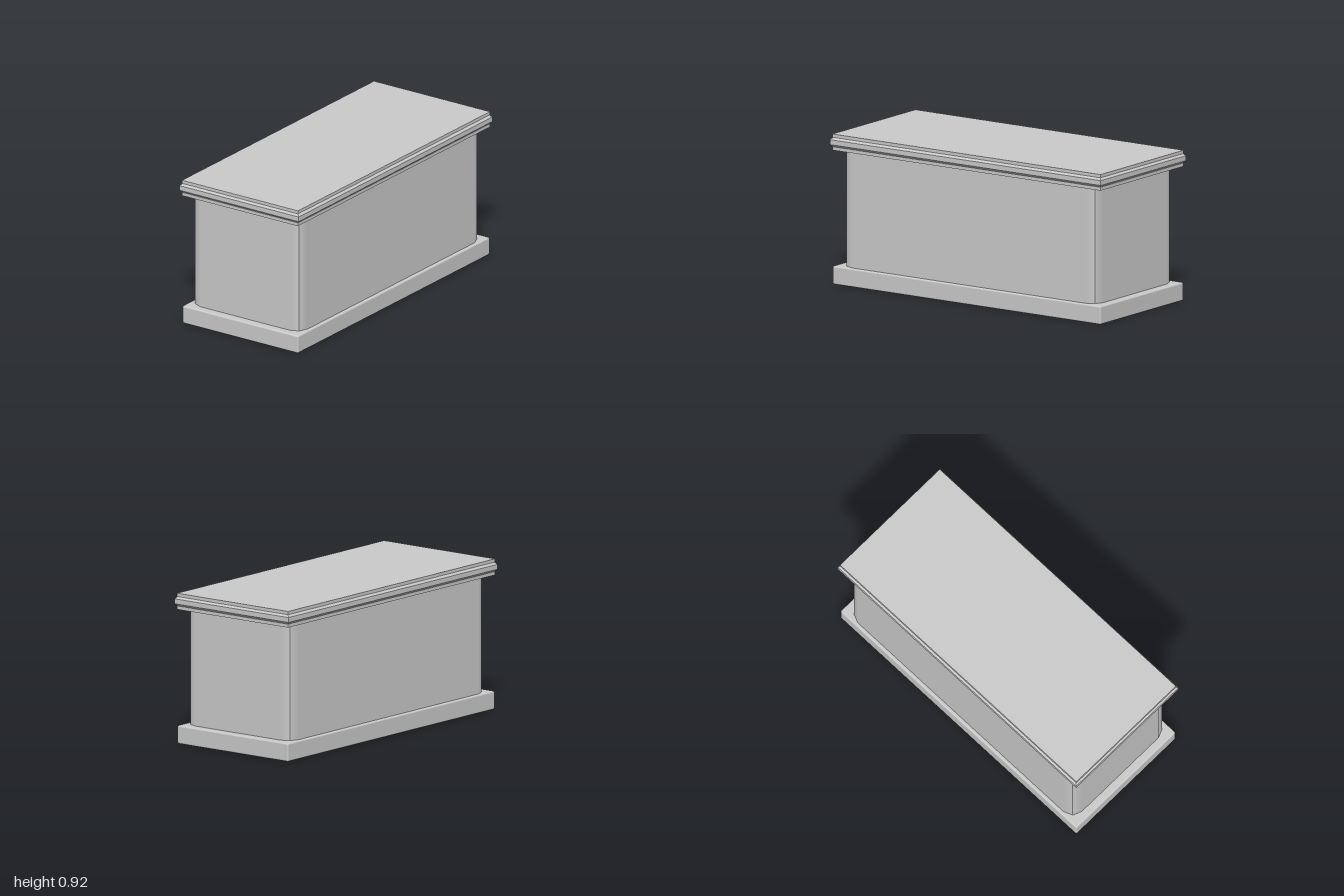
import * as THREE from 'three';
import { RoundedBoxGeometry } from 'three/addons/geometries/RoundedBoxGeometry.js';

const material = new THREE.MeshStandardMaterial({ color: 0xcccccc });

function add(group, name, geometry, y) {
  const mesh = new THREE.Mesh(geometry, material);
  mesh.name = name;
  mesh.position.y = y;
  group.add(mesh);
}

// Outline in plan; each corner is rounded in two facets when r > 0.
function plan(hx, hz, r) {
  const pts = [];
  [[1, 1], [-1, 1], [-1, -1], [1, -1]].forEach(([sx, sz], i) => {
    const steps = r > 0 ? 2 : 0;
    for (let k = 0; k <= steps; k++) {
      const a = (i + k / 2) * Math.PI / 2;
      pts.push(new THREE.Vector2(
        sx * (hx - r) + r * Math.cos(a),
        sz * (hz - r) + r * Math.sin(a)));
    }
  });
  return new THREE.Shape(pts);
}

// Upright block whose facets blend into the flat walls but meet in a crease.
function bodyGeometry(hx, hz, r, height) {
  const g = new THREE.ExtrudeGeometry(plan(hx, hz, r), { depth: height, bevelEnabled: false });
  g.rotateX(-Math.PI / 2);
  const p = g.attributes.position, n = g.attributes.normal;
  for (let i = 0; i < p.count; i++) {
    if (Math.abs(n.getY(i)) > 0.5) continue;
    const crease = Math.abs(p.getX(i)) < hx - 0.001 && Math.abs(p.getZ(i)) < hz - 0.001;
    if (crease) continue;
    const nx = n.getX(i), nz = n.getZ(i);
    if (Math.abs(nx) > Math.abs(nz)) n.setXYZ(i, Math.sign(nx), 0, 0);
    else n.setXYZ(i, 0, 0, Math.sign(nz));
  }
  return g;
}

// Rectangular band with sloped upper and lower edges.
function bandGeometry(hx, hz, height, bevel) {
  const g = new THREE.ExtrudeGeometry(plan(hx - bevel, hz - bevel, 0), {
    depth: height - 2 * bevel, bevelThickness: bevel, bevelSize: bevel, bevelSegments: 1,
  });
  return g.rotateX(-Math.PI / 2).translate(0, bevel, 0);
}

export function createModel() {
  const group = new THREE.Group();
  group.name = 'pedestal';

  // Plinth with softened edges
  add(group, 'base', new RoundedBoxGeometry(0.854, 0.113, 1.98, 2, 0.01), 0.0565);

  // Main block
  add(group, 'body', bodyGeometry(0.406, 0.94, 0.078, 0.72), 0.108);

  // Moulded top: two slabs with a projecting band between them
  add(group, 'lowerSlab', new THREE.BoxGeometry(0.854, 0.021, 1.98), 0.8335);
  add(group, 'mouldingBand', bandGeometry(0.439, 1, 0.058, 0.014), 0.844);
  add(group, 'topSlab', new THREE.BoxGeometry(0.854, 0.02, 1.98), 0.912);

  return group;
}
